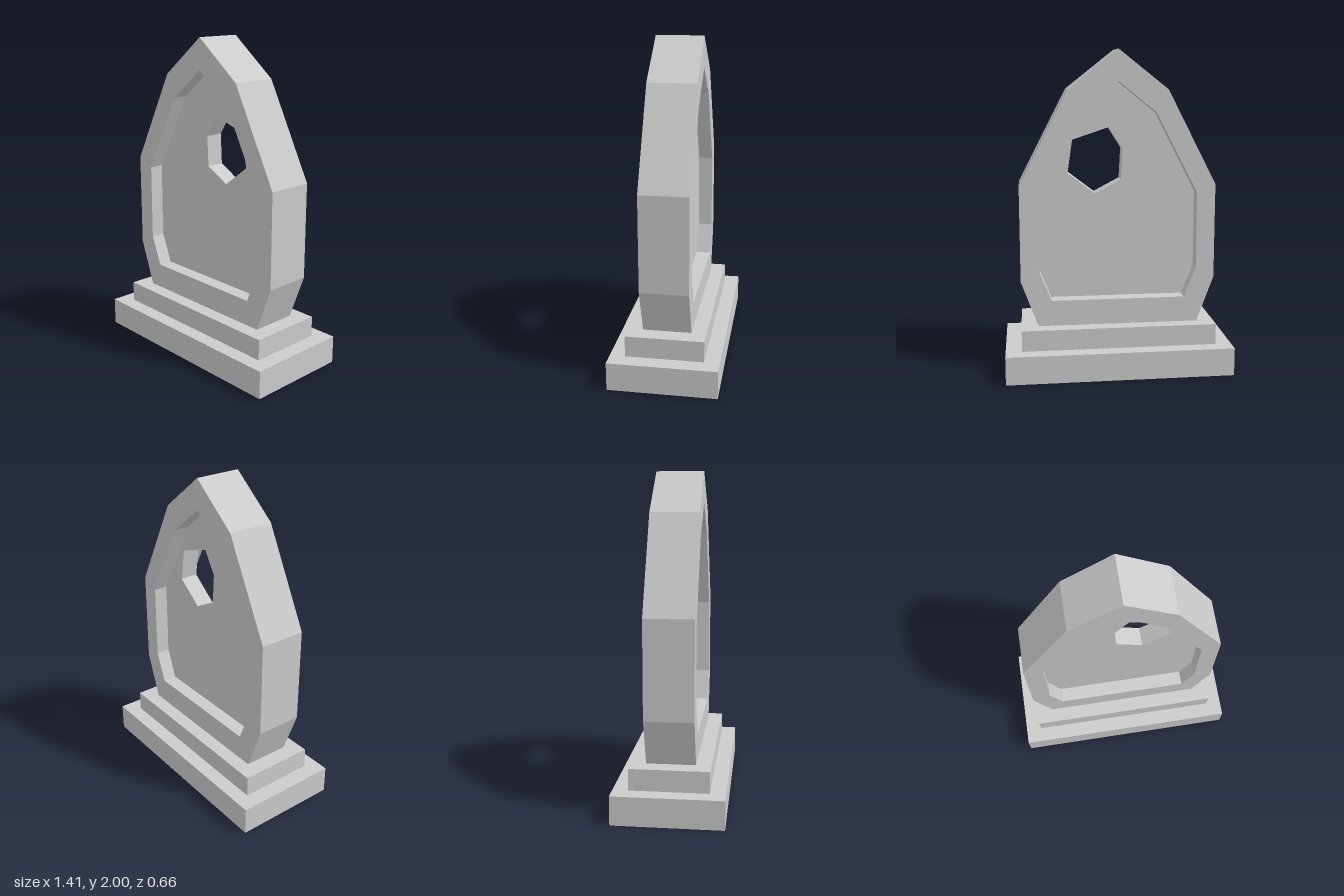
import * as THREE from 'three';

const material = new THREE.MeshStandardMaterial({ color: 0xcccccc, flatShading: true, side: THREE.DoubleSide });

// Skin between successive loops of points; the loops may be left open.
function loft(loops, closed = true) {
  const pos = [];
  for (let k = 0; k + 1 < loops.length; k++) {
    const lo = loops[k], hi = loops[k + 1], n = lo.length;
    for (let i = 0; i < (closed ? n : n - 1); i++) {
      const j = (i + 1) % n;
      for (const p of [lo[i], lo[j], hi[j], lo[i], hi[j], hi[i]]) pos.push(...p);
    }
  }
  const g = new THREE.BufferGeometry();
  g.setAttribute('position', new THREE.Float32BufferAttribute(pos, 3));
  g.computeVertexNormals();
  return g;
}

const atZ = (pts, z) => pts.map(([x, y]) => [x, y, z]);
const rectAt = ([w, d, y]) => [[-w, y, d], [w, y, d], [w, y, -d], [-w, y, -d]];
const toVectors = pts => pts.map(([x, y]) => new THREE.Vector2(x, y));

// Complete a right-hand half outline (bottom to apex) with its mirror image.
const mirrored = half => [...half, ...half.slice(0, -1).reverse().map(([x, y]) => [-x, y])];

function plate(outline, hole, z) {
  const shape = new THREE.Shape(toVectors(outline));
  shape.holes.push(new THREE.Path(toVectors(hole)));
  return new THREE.ShapeGeometry(shape).translate(0, 0, z);
}

export function createModel() {
  const model = new THREE.Group();
  const add = (parent, name, geometry) => {
    const mesh = new THREE.Mesh(geometry, material);
    mesh.name = name;
    parent.add(mesh);
  };

  const slabZ = 0.147, panelZ = 0.057;
  const outer = mirrored([[0.5, 0.305], [0.605, 0.59], [0.605, 1.18], [0.305, 1.76], [0, 2]]);
  const inner = mirrored([[0.415, 0.465], [0.49, 0.65], [0.49, 1.13], [0.235, 1.62], [0, 1.81]]);
  const hole = [[0.05, 1.53], [0.275, 1.455], [0.305, 1.25], [0.135, 1.12], [-0.025, 1.205], [-0.035, 1.395]];

  // Stepped base, a hollow shell open underneath
  add(model, 'steppedBase', loft([
    [0.705, 0.33, 0], [0.705, 0.33, 0.175],
    [0.605, 0.237, 0.175], [0.605, 0.237, 0.305],
    [0.5, slabZ, 0.305],
  ].map(rectAt)));

  // Outer edge of the pointed slab, open where it meets the base
  add(model, 'slabEdge', loft([atZ(outer, -slabZ), atZ(outer, slabZ)], false));

  // Front and back: raised border, recess wall and sunken panel
  for (const side of [1, -1]) {
    const face = new THREE.Group();
    face.name = side > 0 ? 'frontFace' : 'backFace';
    const sideHole = hole.map(([x, y]) => [side * x, y]);
    const rim = [...inner].reverse();
    add(face, 'border', plate(outer, inner, slabZ));
    add(face, 'recessWall', loft([atZ(rim, panelZ), atZ(rim, slabZ)]));
    add(face, 'panel', plate(inner, sideHole, panelZ));
    if (side < 0) face.rotation.y = Math.PI;
    model.add(face);
  }

  // Walls of the broken hole through the panel
  add(model, 'holeWall', loft([atZ(hole, -panelZ), atZ(hole, panelZ)]));

  return model;
}
